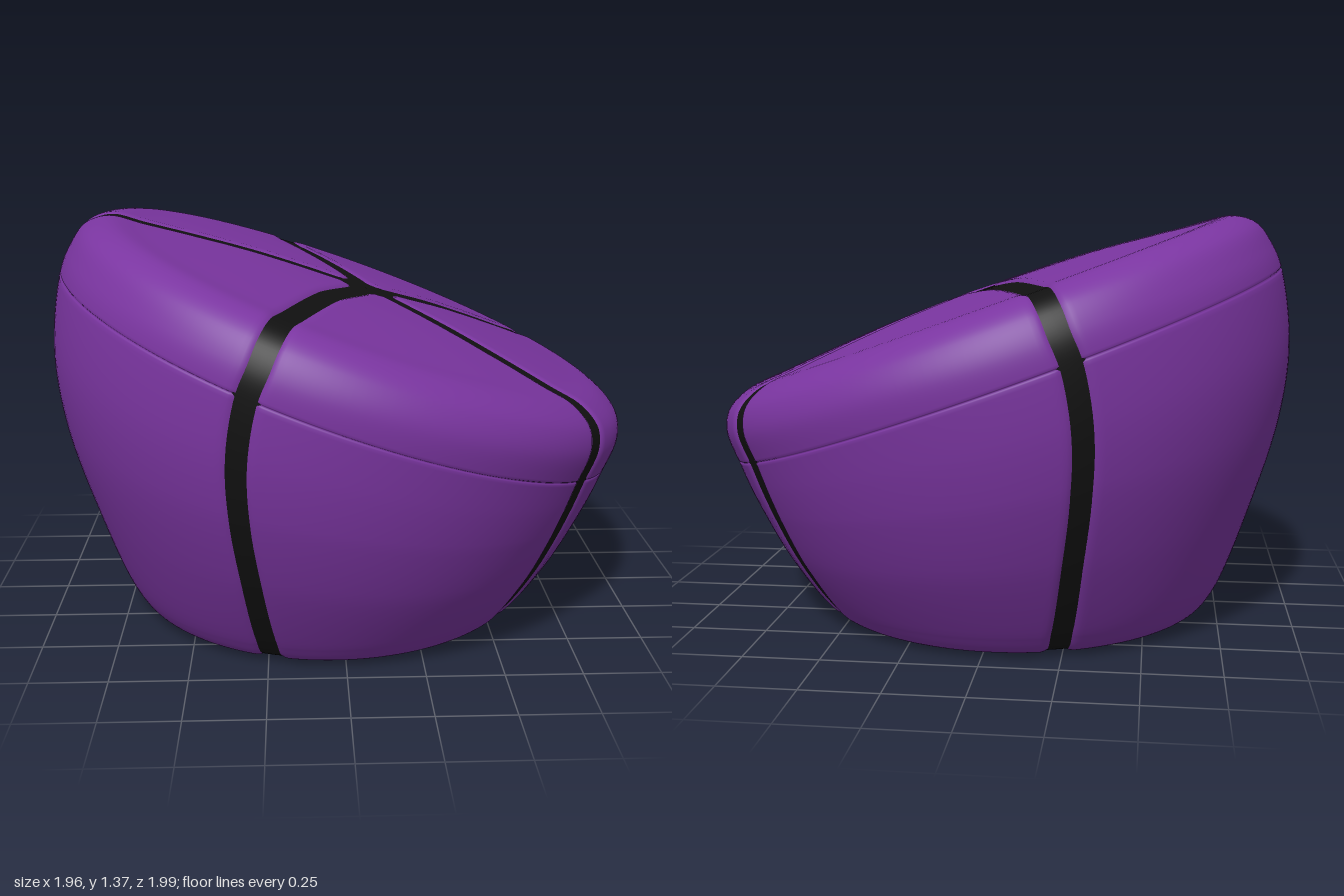
import * as THREE from 'three';

// Tilted elliptical rings from base to top: [left x, left y, right x, right y, half depth]
const RINGS = [
  [-0.036, 0, -0.034, 0, 0.001],
  [-0.535, 0, 0.465, 0, 0.5],
  [-0.62, 0, 0.55, 0, 0.6],
  [-0.70, 0.02, 0.63, 0.02, 0.67],
  [-0.755, 0.09, 0.69, 0.08, 0.725],
  [-0.87, 0.40, 0.79, 0.23, 0.86],
  [-0.955, 0.70, 0.865, 0.37, 0.945],
  [-0.98, 0.95, 0.905, 0.45, 0.98],
  [-0.945, 1.20, 0.935, 0.52, 0.995],
  [-0.91, 1.28, 0.975, 0.62, 0.99],
  [-0.86, 1.345, 0.97, 0.69, 0.955],
  [-0.78, 1.37, 0.91, 0.76, 0.885],
  [-0.66, 1.34, 0.79, 0.82, 0.76],
  [-0.30, 1.245, 0.45, 0.975, 0.38],
  [-0.04, 1.16, 0.24, 1.06, 0.14],
  [0.02, 1.138, 0.18, 1.083, 0.08],
  [0.099, 1.11, 0.101, 1.11, 0.001],
];
const LAST = RINGS.length - 1;
const SEAM = 8;          // ring of the piping line
const HUB = 15;          // ring where the cushions start at the top
const PANELS = 5;
const HALF = Math.PI / PANELS;
const STRIP = 0.023;     // half width of the dark strips
const CORNER = 0.06;     // corner radius of the cushions
const BASE_R = 0.5, HUB_R = 0.08;

const leftCurve = new THREE.CatmullRomCurve3(RINGS.map(r => new THREE.Vector3(r[0], r[1], 0)));
const rightCurve = new THREE.CatmullRomCurve3(RINGS.map(r => new THREE.Vector3(r[2], r[3], r[4])));

// Ring at fractional index s
function ringAt(s) {
  const t = THREE.MathUtils.clamp(s / LAST, 0, 1);
  const l = leftCurve.getPoint(t), r = rightCurve.getPoint(t);
  return { cx: (l.x + r.x) / 2, ax: (r.x - l.x) / 2, cy: (l.y + r.y) / 2, ay: (r.y - l.y) / 2, rz: r.z };
}

function onRing(k, angle) {
  const c = Math.cos(angle);
  return new THREE.Vector3(k.cx + k.ax * c, k.cy + k.ay * c, k.rz * Math.sin(angle));
}

// Grid of points on the shell; column(j, ring, s) returns the angle and the inward offset
function shell(rows, cols, column) {
  const pos = [], index = [];
  for (const s of rows) {
    const k = ringAt(s), k0 = ringAt(s - 0.01), k1 = ringAt(s + 0.01);
    for (let j = 0; j <= cols; j++) {
      const { angle, drop } = column(j / cols, k, s);
      const along = onRing(k1, angle).sub(onRing(k0, angle));
      const around = onRing(k, angle + 0.01).sub(onRing(k, angle - 0.01));
      const normal = along.cross(around).normalize();
      pos.push(...onRing(k, angle).addScaledVector(normal, -drop).toArray());
    }
  }
  const w = cols + 1;
  for (let i = 0; i < rows.length - 1; i++) {
    for (let j = 0; j < cols; j++) {
      const a = i * w + j, b = a + w;
      index.push(a, b, a + 1, b, b + 1, a + 1);
    }
  }
  const geo = new THREE.BufferGeometry();
  geo.setAttribute('position', new THREE.Float32BufferAttribute(pos, 3));
  geo.setIndex(index);
  geo.computeVertexNormals();
  return geo;
}

// Half angle covered by a cushion: rounded tip at the hub, parallel strips, rounded base corners
function halfAngle(r, s) {
  const d = (STRIP + CORNER) / Math.sin(HALF);
  if (s > SEAM && r < d * Math.cos(HALF)) {
    const c = (r * r + d * d - CORNER * CORNER) / (2 * r * d);
    return Math.acos(Math.min(1, c));
  }
  let phi = HALF - Math.asin(STRIP / r);
  const t = r - BASE_R;
  if (s < 3 && t < CORNER) {
    phi -= (CORNER - Math.sqrt(Math.max(0, CORNER ** 2 - (CORNER - t) ** 2))) / r;
  }
  return phi;
}

function rowList(from, to, perRing, extra = []) {
  const rows = [...extra];
  for (let i = 0; i <= (to - from) * perRing; i++) rows.push(from + i / perRing);
  return [...new Set(rows)].sort((a, b) => a - b);
}

export function createModel() {
  const group = new THREE.Group();
  const purple = new THREE.MeshStandardMaterial({ color: 0x7a35a0 });
  const black = new THREE.MeshStandardMaterial({ color: 0x111111 });

  // Dark core: shows as the strips, the star on top and the base disc
  const core = new THREE.Mesh(
    shell(rowList(0, LAST, 6), 120, t => ({ angle: t * Math.PI * 2, drop: 0.007 })), black);
  core.name = 'darkCore';
  group.add(core);

  // Five cushions with rounded edges and a fine piping groove
  const rows = rowList(1, HUB, 8, [1.03, 1.06, 1.09, SEAM - 0.05, SEAM - 0.025, SEAM + 0.025, SEAM + 0.05,
    HUB - 0.01, HUB - 0.03, HUB - 0.06]);
  for (let p = 0; p < PANELS; p++) {
    const mid = p * HALF * 2;
    const geo = shell(rows, 40, (t, k, s) => {
      const phi = halfAngle(k.rz, s);
      const a = phi * Math.sin((t - 0.5) * Math.PI);
      const edge = Math.min(k.rz * (phi - Math.abs(a)), k.rz - (s < 3 ? BASE_R : HUB_R));
      let drop = 0.016 * Math.max(0, 1 - Math.max(0, edge) / 0.035) ** 2;
      drop += 0.005 * Math.max(0, 1 - Math.abs(s - SEAM) / 0.05);
      return { angle: mid + a, drop };
    });
    const cushion = new THREE.Mesh(geo, purple);
    cushion.name = 'cushionPanel' + (p + 1);
    group.add(cushion);
  }
  return group;
}
